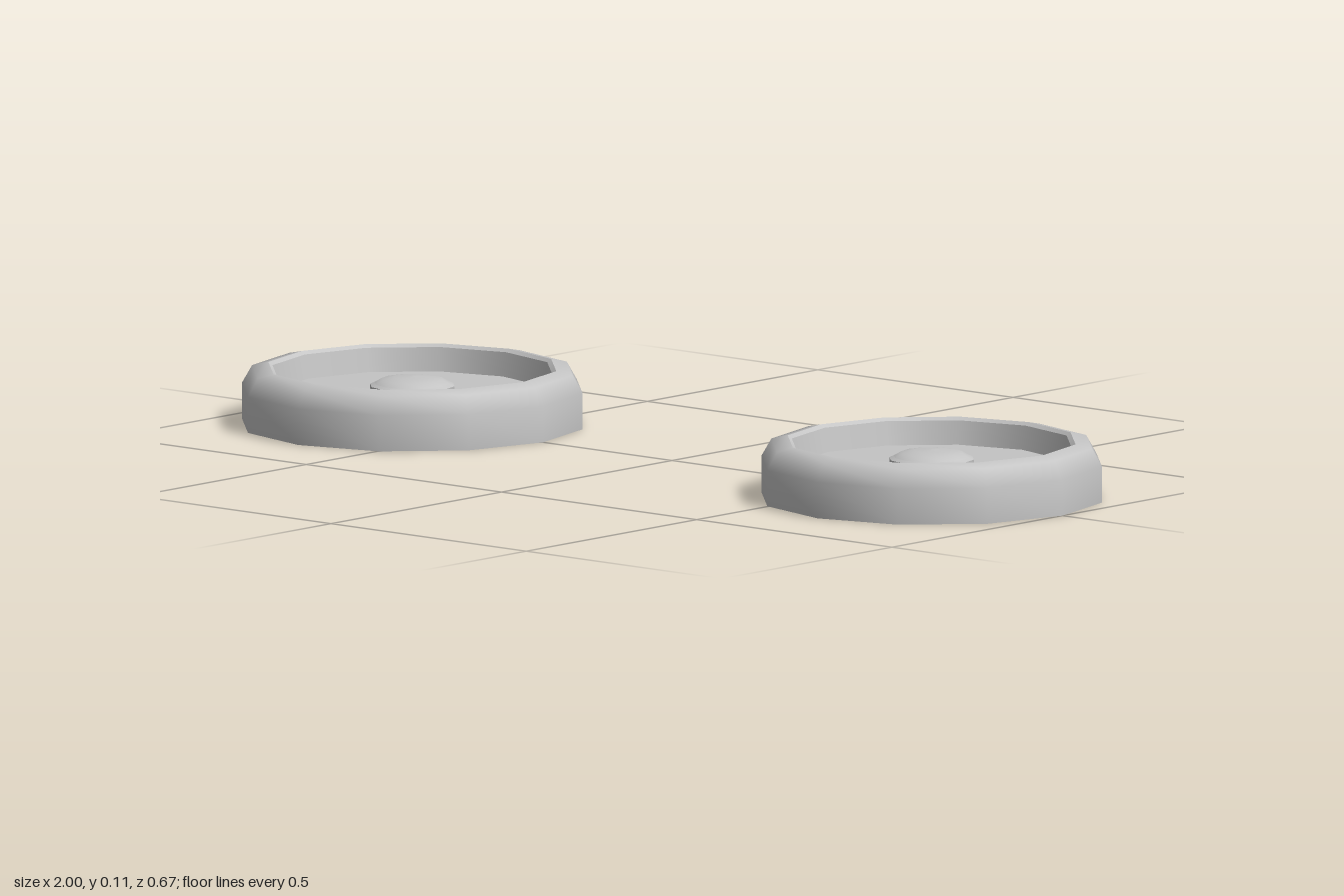
import * as THREE from 'three';

const SIDES = 12;

export function createModel() {
  const model = new THREE.Group();
  const grey = new THREE.MeshStandardMaterial({ color: 0xc4c4c4, side: THREE.DoubleSide });
  grey.name = 'plain grey';

  // Lathe a [radius, height] profile into a twelve-sided part
  const turn = (name, profile, parent) => {
    const points = profile.map(([r, y]) => new THREE.Vector2(r, y));
    const mesh = new THREE.Mesh(new THREE.LatheGeometry(points, SIDES), grey);
    mesh.name = name;
    parent.add(mesh);
  };

  for (const [name, x] of [['leftDisc', 0.665], ['rightDisc', -0.665]]) {
    const disc = new THREE.Group();
    disc.name = name;
    disc.position.x = x;

    // Shell, open underneath, with a rounded shoulder
    turn('outerShell', [[0.335, 0], [0.335, 0.07], [0.315, 0.105], [0.283, 0.112]], disc);
    // Narrow bevel and the wall of the recess
    turn('rimBevel', [[0.283, 0.112], [0.275, 0.106]], disc);
    turn('recessWall', [[0.275, 0.106], [0.265, 0.06]], disc);
    turn('recessFloor', [[0.266, 0.06], [0, 0.06]], disc);

    // Central button: collar, ledge, and a low domed cap
    turn('buttonCollar', [[0.083, 0.06], [0.083, 0.076]], disc);
    turn('buttonLedge', [[0.083, 0.076], [0.074, 0.08]], disc);
    turn('buttonCap', [[0.074, 0.08], [0.06, 0.088], [0.035, 0.092], [0, 0.094]], disc);

    model.add(disc);
  }
  return model;
}
